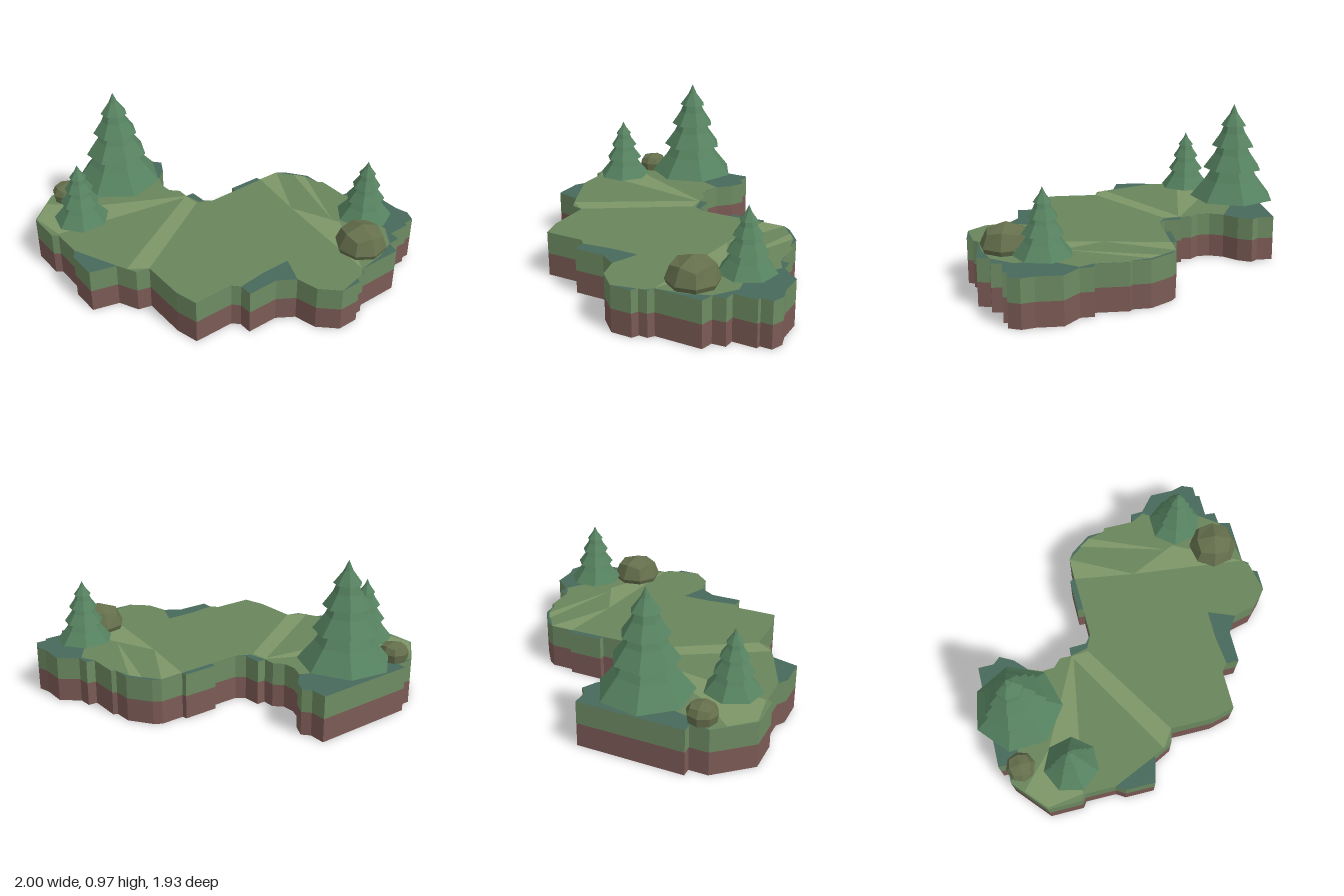
import * as THREE from 'three';

const mat = (color, extra = {}) => new THREE.MeshStandardMaterial({ color, flatShading: true, ...extra });
const SOIL = mat(0x7b5a55), GRASS_SIDE = mat(0x6d8b62), EDGE = mat(0x48695c);
const GRASS = mat(0x69855c), LIGHT = mat(0x7d9567);
const LEAF = mat(0x568260), BARK = mat(0x805a42), STONE = mat(0x656f4c);
const TOP = 0.285;

// Shoreline as x, z pairs
const OUTLINE = [
  [0.29, -0.84], [0.37, -0.845], [0.46, -0.95], [0.61, -0.95], [0.685, -0.97], [0.755, -0.94],
  [0.755, -0.87], [0.78, -0.865], [0.78, -0.72], [0.845, -0.715], [0.85, -0.635], [0.925, -0.615],
  [0.925, -0.33], [0.96, -0.305], [0.96, -0.25], [1, -0.23], [1, -0.1], [0.9, 0.005],
  [0.765, 0.037], [0.7, 0.14], [0.7, 0.335], [0.62, 0.335], [0.58, 0.375], [0.58, 0.625],
  [0.44, 0.66], [0.165, 0.66], [0.145, 0.74], [0.025, 0.8], [-0.016, 0.96], [-0.2, 0.96],
  [-0.257, 0.925], [-0.45, 0.925], [-0.475, 0.96], [-0.685, 0.96], [-0.87, 0.75], [-0.87, 0.635],
  [-0.925, 0.635], [-0.925, -0.02], [-0.825, -0.02], [-0.78, -0.06], [-0.695, -0.015], [-0.62, 0.065],
  [-0.535, 0.1], [-0.455, 0.095], [-0.405, 0.045], [-0.33, 0.045], [-0.33, -0.01], [-0.22, -0.015],
  [-0.18, -0.065], [-0.18, -0.25], [-0.22, -0.25], [-0.22, -0.465], [-0.19, -0.47], [-0.19, -0.615],
  [-0.16, -0.66], [-0.085, -0.715], [-0.03, -0.755], [0.075, -0.76], [0.09, -0.785], [0.285, -0.785],
];

// Meadow inside the darker rim
const MEADOW = [
  [0.285, -0.785], [0.37, -0.83], [0.55, -0.7], [0.72, -0.73], [0.85, -0.635], [0.9, -0.5], [0.925, -0.33],
  [0.96, -0.29], [1, -0.1], [0.9, 0.005], [0.765, 0.037], [0.6, -0.03], [0.6, 0.15], [0.62, 0.335],
  [0.58, 0.375], [0.58, 0.625], [0.44, 0.66], [0.165, 0.66], [0.145, 0.74], [0.025, 0.8],
  [-0.257, 0.925], [-0.45, 0.925], [-0.475, 0.96], [-0.685, 0.96], [-0.87, 0.75], [-0.8, 0.6],
  [-0.73, 0.32], [-0.62, 0.065], [-0.535, 0.1], [-0.455, 0.095], [-0.405, 0.045], [-0.33, 0.045],
  [-0.22, 0.02], [-0.18, -0.065], [-0.19, -0.615], [-0.03, -0.735], [0.075, -0.76], [0.09, -0.785],
];

// Paler streaks across the meadow
const STREAKS = [
  [[-0.33, 0.05], [-0.22, 0.04], [0.165, 0.66], [0.09, 0.77]],
  [[-0.33, 0.05], [-0.32, 0.06], [-0.46, 0.92], [-0.68, 0.95], [-0.8, 0.82], [-0.6, 0.6]],
  [[-0.19, -0.615], [0.2, -0.41], [-0.19, -0.47]],
  [[-0.1, -0.69], [-0.03, -0.735], [0.45, -0.53]],
  [[0.2, -0.41], [0.5, -0.55], [0.92, -0.33]],
];

const toShape = (pts) => new THREE.Shape(pts.map(([x, z]) => new THREE.Vector2(x, -z)));

function add(parent, name, geometry, material) {
  const mesh = new THREE.Mesh(geometry, material);
  mesh.name = name;
  parent.add(mesh);
  return mesh;
}

function layer(parent, name, y0, y1, materials) {
  const geo = new THREE.ExtrudeGeometry(toShape(OUTLINE), { depth: y1 - y0, bevelEnabled: false });
  geo.rotateX(-Math.PI / 2);
  add(parent, name, geo, materials).position.y = y0;
}

function patch(parent, name, pts, y, material) {
  add(parent, name, new THREE.ShapeGeometry(toShape(pts)).rotateX(-Math.PI / 2), material).position.y = y;
}

// Seven-sided fir; heights are above the ground
function tree(parent, name, x, z, scale, turn) {
  const g = new THREE.Group();
  g.name = name;
  const tiers = [ // bottom y, bottom radius, top y, top radius
    [0.06, 0.28, 0.28, 0.12], [0.255, 0.195, 0.43, 0.085],
    [0.405, 0.142, 0.56, 0.055], [0.54, 0.085, 0.68, 0],
  ];
  const profile = [new THREE.Vector2(0, 0.09)];
  for (const [y0, r0, y1, r1] of tiers) {
    profile.push(new THREE.Vector2(r0, y0));
    profile.push(new THREE.Vector2(r0 * 0.45 + r1 * 0.55 - 0.01, y0 * 0.45 + y1 * 0.55));
    profile.push(new THREE.Vector2(r1, y1));
  }
  add(g, 'foliage', new THREE.LatheGeometry(profile, 7, turn), LEAF);
  add(g, 'trunk', new THREE.CylinderGeometry(0.03, 0.036, 0.12, 7), BARK).position.y = 0.06;
  g.position.set(x, TOP, z);
  g.scale.setScalar(scale);
  parent.add(g);
}

// Faceted boulder: a divided box pushed out to an ellipsoid, with its foot cut flat
function rock(parent, name, x, y, z, r, ry, turn) {
  const geo = new THREE.BoxGeometry(1, 1, 1, 2, 2, 2);
  const p = geo.attributes.position, v = new THREE.Vector3();
  for (let i = 0; i < p.count; i++) {
    v.fromBufferAttribute(p, i).normalize();
    if (v.y < -0.1) {
      const k = 0.9 / Math.max(Math.hypot(v.x, v.z), 0.9);
      const spread = Math.hypot(v.x, v.z) > 0.1 ? 0.92 / Math.hypot(v.x, v.z) : k;
      v.set(v.x * spread * r, TOP - y, v.z * spread * r);
    } else v.set(v.x * r, v.y * ry, v.z * r);
    p.setXYZ(i, v.x, v.y, v.z);
  }
  geo.computeVertexNormals();
  const mesh = add(parent, name, geo, STONE);
  mesh.position.set(x, y, z);
  mesh.rotation.y = turn;
}

export function createModel() {
  const model = new THREE.Group();
  model.name = 'forestIsland';

  // Ground
  layer(model, 'soilLayer', 0, 0.145, SOIL);
  layer(model, 'grassLayer', 0.145, TOP, [EDGE, GRASS_SIDE]);
  patch(model, 'meadow', MEADOW, TOP + 0.001, GRASS);
  STREAKS.forEach((s, i) => patch(model, `grassStreak${i + 1}`, s, TOP + 0.002, LIGHT));

  // Trees
  tree(model, 'tallTree', -0.73, 0.315, 1, 3.19);
  tree(model, 'smallFrontTree', -0.488, 0.735, 0.615, 2.92);
  tree(model, 'smallBackTree', 0.556, -0.7, 0.615, 3.37);

  // Rocks
  rock(model, 'largeRock', 0.76, 0.315, -0.475, 0.157, 0.135, -0.2);
  rock(model, 'smallRock', -0.79, 0.335, 0.675, 0.092, 0.06, 0.05);

  return model;
}
